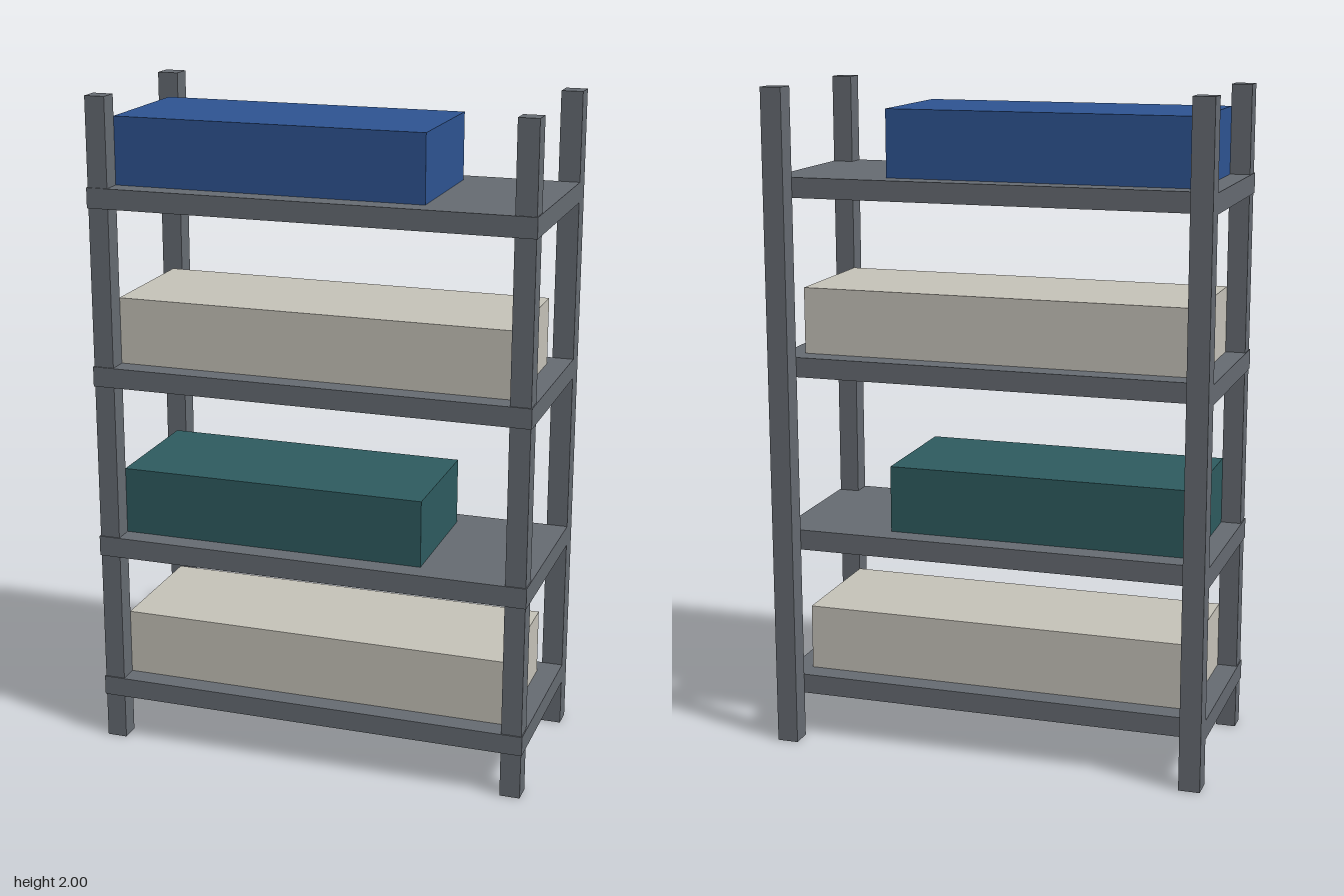
import * as THREE from 'three';

export function createModel() {
  const mat = (name, color) => {
    const m = new THREE.MeshStandardMaterial({ color });
    m.name = name;
    return m;
  };
  const steel = mat('steel grey', 0x666b72);
  const blue = mat('blue', 0x2e5492);
  const teal = mat('teal', 0x2e5b5f);
  const beige = mat('beige', 0xc6c3b9);

  const rack = new THREE.Group();
  rack.name = 'storageRack';

  // Adds a box given by its extents along each axis
  const block = (name, material, [x0, x1], [y0, y1], [z0, z1]) => {
    const mesh = new THREE.Mesh(new THREE.BoxGeometry(x1 - x0, y1 - y0, z1 - z0), material);
    mesh.position.set((x0 + x1) / 2, (y0 + y1) / 2, (z0 + z1) / 2);
    mesh.name = name;
    rack.add(mesh);
  };

  // Corner posts
  for (const [side, s] of [['left', 1], ['right', -1]]) {
    const span = (inner, outer) => (s > 0 ? [inner, outer] : [-outer, -inner]);
    block(side + 'FrontPost', steel, span(0.601, 0.662), [0, 2], [0.235, 0.295]);
    block(side + 'BackPost', steel, span(0.601, 0.665), [0, 2], [-0.299, -0.235]);
  }

  // Shelves with their boxes; most boxes sink just through the shelf
  const levels = [
    { bottom: 0.14, top: 0.2, boxTop: 0.4, boxBottom: 0.136, right: 0.6, material: beige },
    { bottom: 0.603, top: 0.665, boxTop: 0.868, boxBottom: 0.61, right: 0.332, material: teal },
    { bottom: 1.14, top: 1.2, boxTop: 1.4, boxBottom: 1.136, right: 0.6, material: beige },
    { bottom: 1.676, top: 1.736, boxTop: 1.936, boxBottom: 1.672, right: 0.332, material: blue },
  ];
  levels.forEach((l, i) => {
    block('shelf' + (i + 1), steel, [-0.665, 0.665], [l.bottom, l.top], [-0.236, 0.299]);
    block('storageBox' + (i + 1), l.material, [-0.602, l.right], [l.boxBottom, l.boxTop], [-0.167, 0.234]);
  });

  return rack;
}
